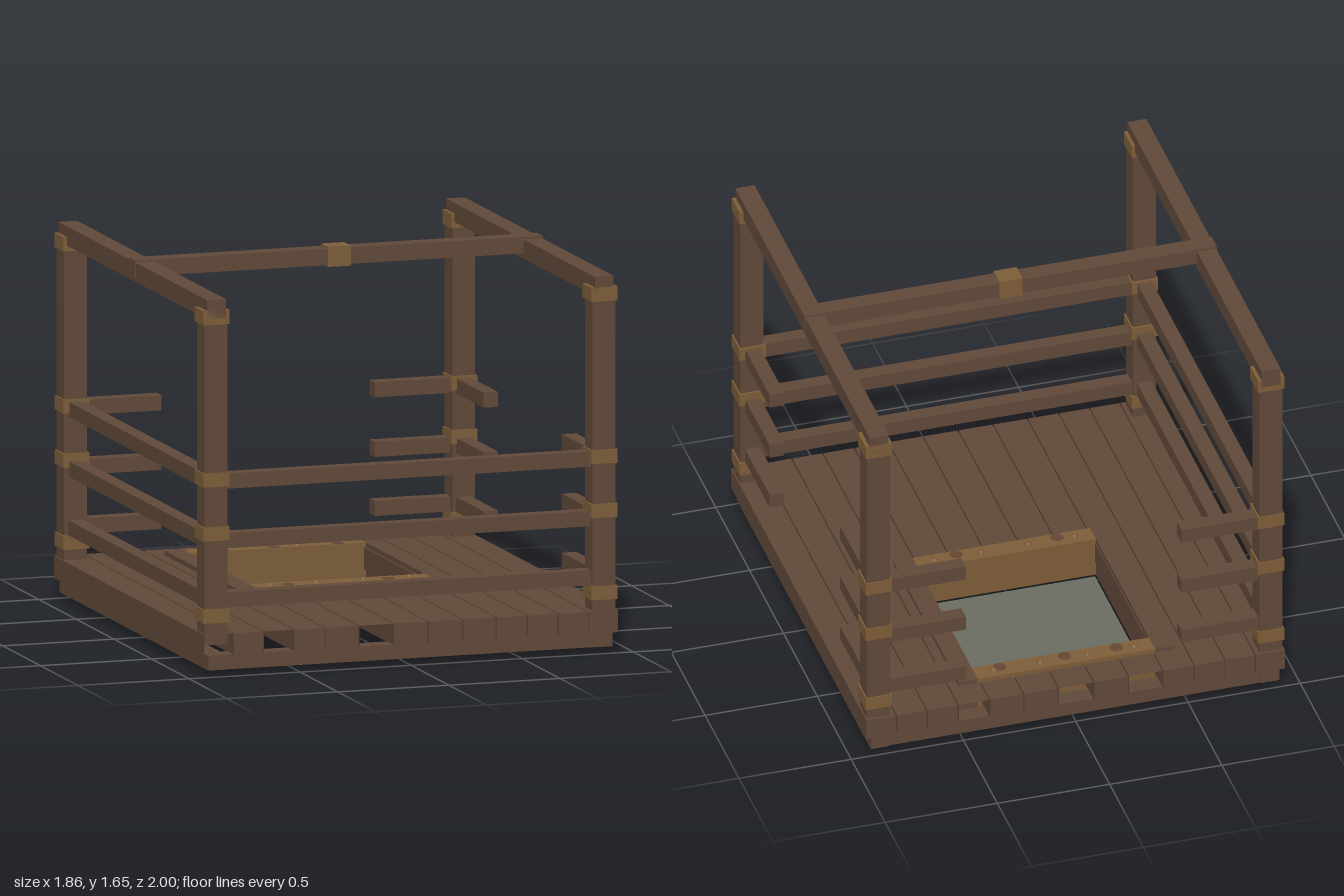
import * as THREE from 'three';

export function createModel() {
  const model = new THREE.Group();
  const mat = (name, color) => {
    const m = new THREE.MeshStandardMaterial({ color });
    m.name = name;
    return m;
  };
  const wood = mat('brown wood', 0x5f4838);
  const brass = mat('aged brass', 0x7c5d38);
  const rust = mat('rust', 0x634833);
  const glass = mat('grey pane', 0x6a6c62);

  // Box given by its minimum and maximum along each axis
  function box(name, material, [x0, x1], [y0, y1], [z0, z1], parent = model) {
    const geo = new THREE.BoxGeometry(x1 - x0, y1 - y0, z1 - z0);
    const mesh = new THREE.Mesh(geo, material);
    mesh.position.set((x0 + x1) / 2, (y0 + y1) / 2, (z0 + z1) / 2);
    mesh.name = name;
    parent.add(mesh);
    return mesh;
  }
  // Range mirrored to the side given by s
  const side = (s, a, b) => (s > 0 ? [a, b] : [-b, -a]);

  // Leave the front (+z) or back (-z) end of a hollow plank open
  function openEnd(mesh, front) {
    const idx = Array.from(mesh.geometry.index.array);
    idx.splice(front ? 24 : 30, 6);
    mesh.geometry.setIndex(idx);
    mesh.geometry.clearGroups();
  }

  // Deck planks: the five middle ones are interrupted by the hatch
  const deck = new THREE.Group();
  deck.name = 'deck';
  model.add(deck);
  const seams = [-0.932, -0.8, -0.665, -0.528, -0.388, -0.235, -0.08,
    0.077, 0.232, 0.383, 0.523, 0.662, 0.798, 0.932];
  const openFront = [0, 2, 5], openBack = [4, 6, 9];
  for (let i = 0; i < 13; i++) {
    const xs = [seams[i] + (i ? 0.003 : 0), seams[i + 1] - (i < 12 ? 0.003 : 0)];
    const ys = [0.09, 0.185];
    const cut = i >= 4 && i <= 8;
    const frontPart = box('deckPlank', wood, xs, ys, cut ? [0.1, 1] : [-1, 1], deck);
    const backPart = cut ? box('deckPlankBack', wood, xs, ys, [-1, -0.86], deck) : frontPart;
    if (openFront.includes(i)) openEnd(frontPart, true);
    if (openBack.includes(i)) openEnd(backPart, false);
  }

  // Frame under the deck
  for (const s of [-1, 1]) {
    box('baseSideBeam', wood, side(s, 0.828, 0.91), [0.028, 0.092], [-0.99, 0.99]);
    box('baseCrossBeam', wood, [-0.828, 0.828], [0.028, 0.092], side(s, 0.905, 0.985));
  }

  // Corner posts with brass bands
  for (const sx of [-1, 1]) for (const sz of [-1, 1]) {
    const corner = new THREE.Group();
    corner.name = 'cornerPost';
    model.add(corner);
    box('post', wood, side(sx, 0.822, 0.925), [0.138, 1.58], side(sz, 0.882, 0.985), corner);
    for (const [y0, y1] of [[0.232, 0.292], [0.588, 0.648], [0.822, 0.882], [1.525, 1.587]])
      box('postBand', brass, side(sx, 0.815, 0.932), [y0, y1], side(sz, 0.873, 0.99), corner);
  }

  // Guard rails: whole at the front and one side, broken at the back and other side
  for (const y of [0.292, 0.548, 0.806]) {
    const ys = [y, y + 0.065];
    box('frontRail', wood, [-0.83, 0.83], ys, [0.895, 0.96]);
    box('rightRail', wood, [-0.905, -0.84], ys, [-0.89, 0.89]);
    for (const s of [-1, 1]) {
      box('brokenBackRail', wood, side(s, 0.48, 0.83), ys, [-0.97, -0.902]);
      box('brokenLeftRail', wood, [0.84, 0.905], ys, side(s, 0.52, 0.89));
    }
  }

  // Top beams, cross beam and its clamp
  for (const s of [-1, 1])
    box('topBeam', wood, side(s, 0.83, 0.915), [1.55, 1.633], [-0.99, 0.99]);
  box('crossBeam', wood, [-0.918, 0.918], [1.572, 1.643], [-0.04, 0.04]);
  box('crossBeamClamp', brass, [-0.052, 0.052], [1.565, 1.652], [-0.045, 0.045]);

  // Hatch: wooden sides, brass ends, bolts and rust spots, pane underneath
  const hatch = new THREE.Group();
  hatch.name = 'hatch';
  model.add(hatch);
  const hy = [0.022, 0.205];
  for (const s of [-1, 1]) box('hatchSide', wood, side(s, 0.395, 0.48), hy, [-0.86, 0.1], hatch);
  for (const [z0, z1] of [[-0.86, -0.77], [0.012, 0.1]])
    box('hatchEnd', brass, [-0.395, 0.395], hy, [z0, z1], hatch);
  const boltGeo = new THREE.SphereGeometry(0.016, 12, 8);
  for (const z of [-0.815, 0.06]) for (const x of [-0.315, -0.108, 0.102, 0.31]) {
    const bolt = new THREE.Mesh(boltGeo, brass);
    bolt.name = 'hatchBolt';
    bolt.position.set(x, 0.2, z);
    hatch.add(bolt);
  }
  const spotGeo = new THREE.CylinderGeometry(0.028, 0.028, 0.002, 14);
  for (const [x, z] of [[-0.24, -0.8], [-0.01, -0.8], [0.28, -0.8], [-0.24, 0.071], [0.21, 0.071]]) {
    const spot = new THREE.Mesh(spotGeo, rust);
    spot.name = 'rustSpot';
    spot.position.set(x, 0.2055, z);
    hatch.add(spot);
  }
  box('hatchPane', glass, [-0.393, 0.39], [0, 0.009], [-0.768, 0.018], hatch);

  return model;
}
